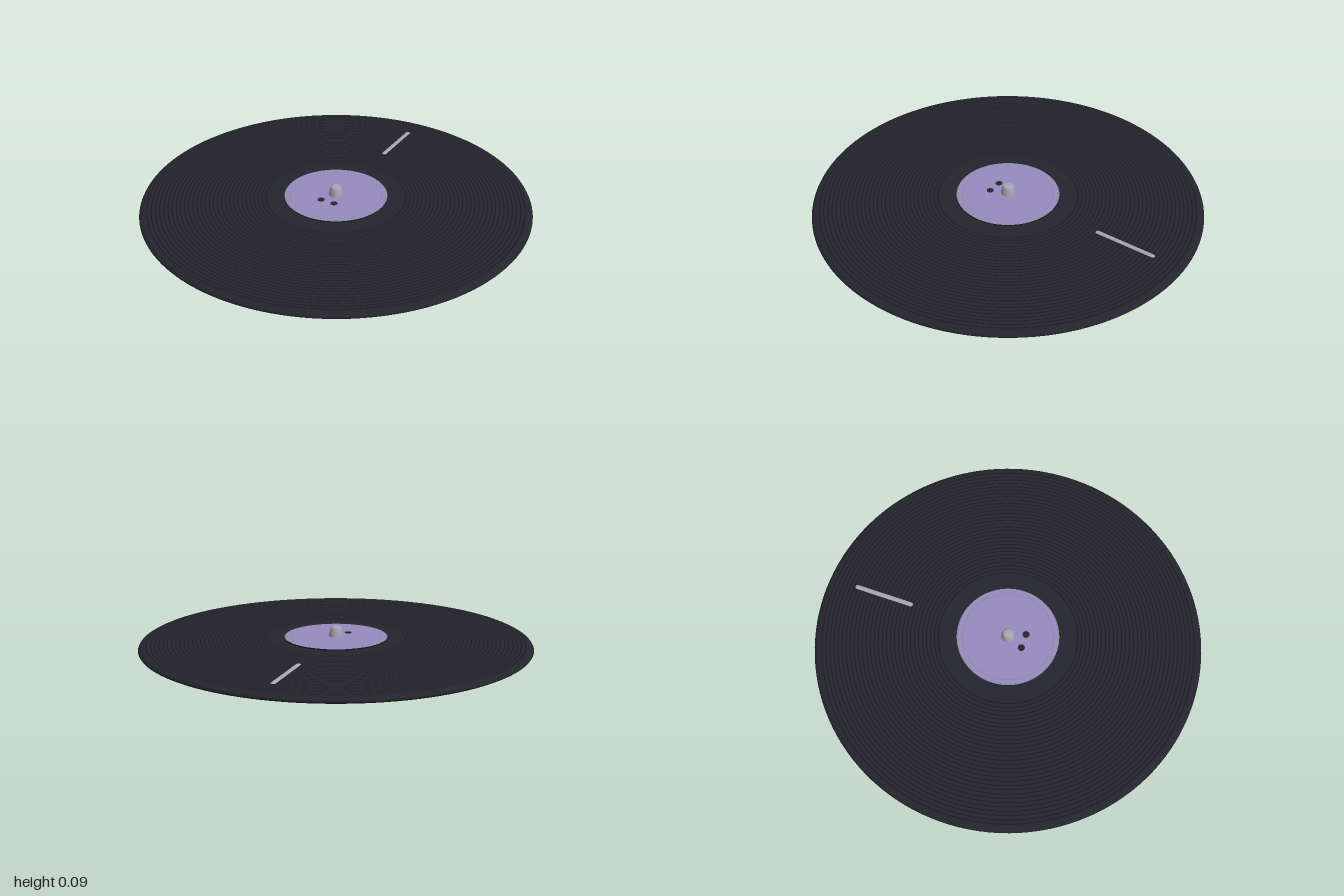
import * as THREE from 'three';

const material = (name, color, extra = {}) => {
  const m = new THREE.MeshStandardMaterial({ color, ...extra });
  m.name = name;
  return m;
};

export function createModel() {
  const group = new THREE.Group();
  const vinyl = material('vinyl black', 0x24242e);
  const groove = material('groove black', 0x19191d);
  const purple = material('label purple', 0x978bc0);
  const trim = material('trim grey', 0x8d8a9c);
  const metal = material('spindle metal', 0xa6a6b4);

  const add = (name, geometry, mat, x = 0, y = 0, z = 0) => {
    const mesh = new THREE.Mesh(geometry, mat);
    mesh.name = name;
    mesh.position.set(x, y, z);
    group.add(mesh);
    return mesh;
  };
  const lathe = (points, segments) =>
    new THREE.LatheGeometry(points.map(([r, y]) => new THREE.Vector2(r, y)), segments);
  // Flat ring facing up
  const ring = (radius, width) =>
    new THREE.RingGeometry(radius - width / 2, radius + width / 2, 128).rotateX(-Math.PI / 2);

  // Record body with a rounded rim
  const top = 0.032;
  add('disc', lathe([
    [0, 0], [0.965, 0], [0.985, 0.004], [0.996, 0.01], [1, 0.016],
    [0.996, 0.023], [0.985, 0.029], [0.965, top], [0, top],
  ], 128), vinyl);

  // Concentric grooves
  const grooveCount = 30;
  for (let i = 0; i < grooveCount; i++) {
    const radius = 0.36 + (0.6 * i) / (grooveCount - 1);
    add('groove', ring(radius, 0.005), groove, 0, top + 0.001);
  }

  // Raised centre label with its printed border
  const labelTop = 0.038;
  add('label', new THREE.CylinderGeometry(0.265, 0.265, labelTop - top, 96),
    [groove, purple, purple], 0, (labelTop + top) / 2);
  add('labelBorder', ring(0.236, 0.005), trim, 0, labelTop + 0.001);
  add('labelEdge', ring(0.262, 0.005), trim, 0, labelTop + 0.001);

  // Two small dots on the label
  for (const side of [-1, 1]) {
    add('labelDot', new THREE.CylinderGeometry(0.018, 0.018, 0.002, 24), vinyl,
      side * 0.038, labelTop + 0.001, 0.086);
  }

  // Tapered spindle with a bevelled tip
  add('spindle', lathe([
    [0.036, labelTop - 0.004], [0.035, 0.05], [0.029, 0.078],
    [0.025, 0.086], [0.018, 0.089], [0, 0.089],
  ], 32), metal);

  // Slim highlight bar lying on the grooves
  const bar = add('highlightBar', new THREE.CapsuleGeometry(0.012, 0.3, 6, 16)
    .rotateX(Math.PI / 2), metal, 0, top + 0.001, -0.69);
  bar.scale.y = 0.4;

  return group;
}
